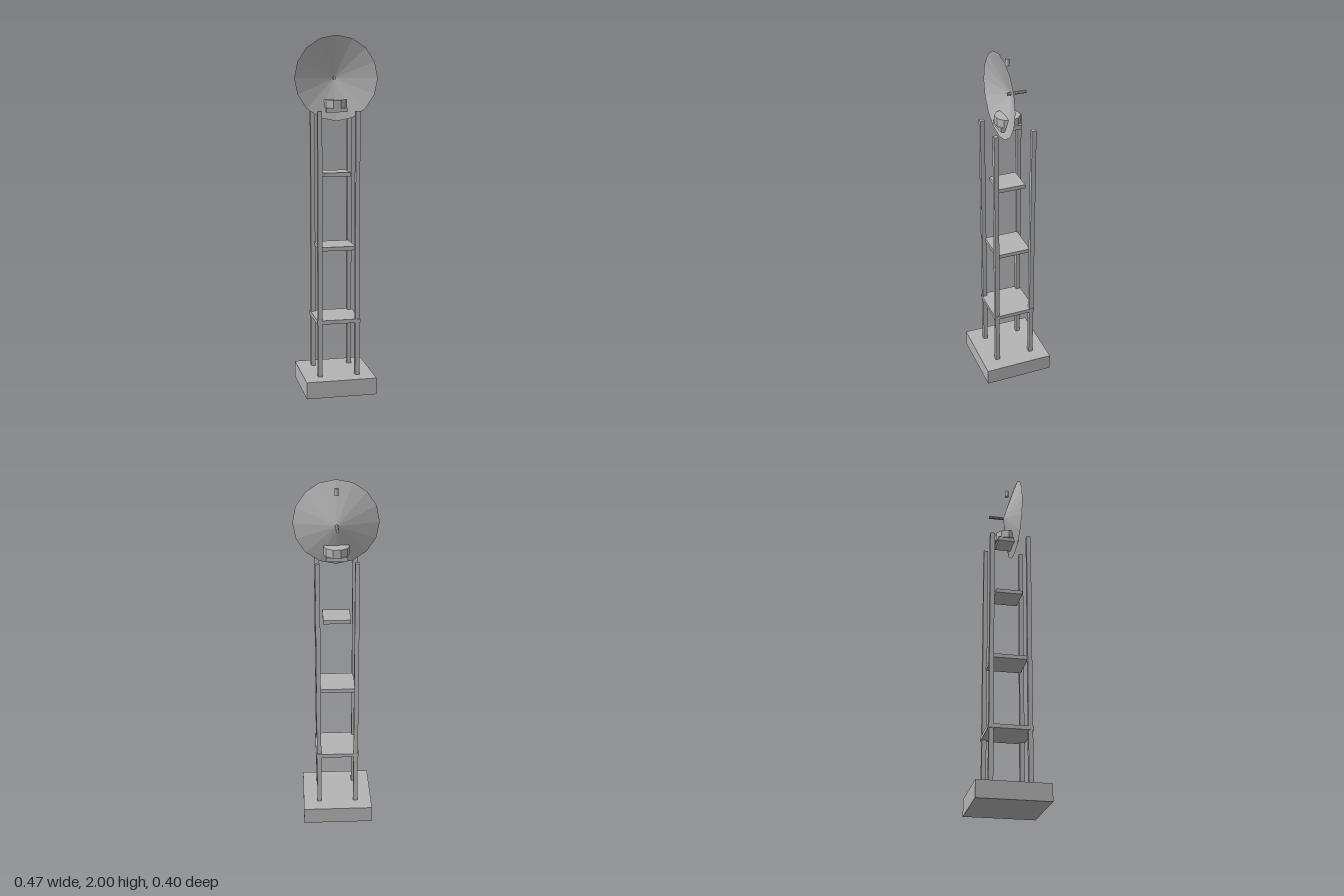
import * as THREE from 'three';

export function createModel() {
  const group = new THREE.Group();
  const grey = new THREE.MeshStandardMaterial({ color: 0xb4b4b4, flatShading: true, side: THREE.DoubleSide });
  grey.name = 'grey metal';

  const add = (name, geometry, x, y, z) => {
    const mesh = new THREE.Mesh(geometry, grey);
    mesh.name = name;
    mesh.position.set(x, y, z);
    group.add(mesh);
  };
  // Square slab given by its half width and its bottom and top heights
  const slab = (name, half, y0, y1, x = 0, z = 0) =>
    add(name, new THREE.BoxGeometry(half * 2, y1 - y0, half * 2), x, (y0 + y1) / 2, z);

  // Foundation block and four legs
  slab('base', 0.2, 0, 0.095);
  for (const x of [-0.1065, 0.1065])
    for (const z of [-0.1065, 0.1065]) slab('leg', 0.0125, 0.095, 1.59, x, z);

  // Platforms, shrinking towards the top
  [0.1235, 0.1, 0.0765].forEach((half, i) => {
    const y = 0.401 + i * 0.4135;
    slab('platform', half, y, y + 0.022);
  });

  // Turntable below the dish
  slab('mountPlate', 0.059, 1.582, 1.606);
  add('turntable', new THREE.CylinderGeometry(0.07, 0.07, 0.047, 10, 1, false, Math.PI / 2), 0, 1.6265, 0);

  // Open conical dish with its hollow side to the front
  const dish = new THREE.CylinderGeometry(0, 0.234, 0.069, 16, 1, true).rotateX(-Math.PI / 2);
  add('dish', dish, 0, 1.767, 0.0125);

  // Feed rod through the middle of the dish
  const feed = new THREE.CylinderGeometry(0.009, 0.009, 0.106, 8).rotateX(-Math.PI / 2);
  add('feedRod', feed, 0, 1.768, -0.053);

  // Small beacon behind the upper rim
  add('beacon', new THREE.CylinderGeometry(0.011, 0.011, 0.038, 12), 0, 1.946, 0);

  return group;
}
